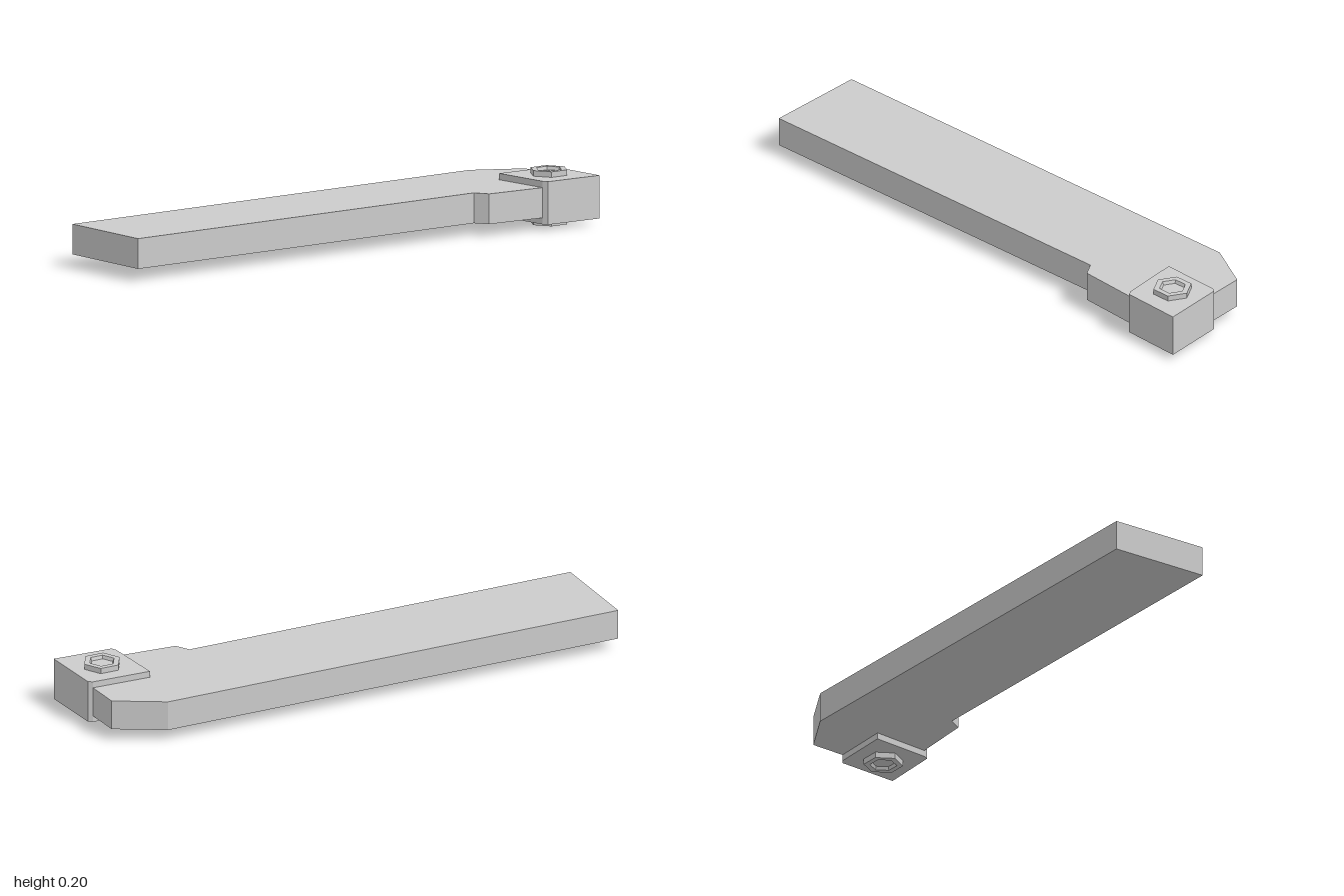
import * as THREE from 'three';

const material = new THREE.MeshStandardMaterial({ color: 0xcccccc, flatShading: true });

// Flat plate from an outline of [x, z] points, between two heights
function plate(name, outline, bottom, top) {
  const shape = new THREE.Shape(outline.map(([x, z]) => new THREE.Vector2(x, -z)));
  const geometry = new THREE.ExtrudeGeometry(shape, { depth: top - bottom, bevelEnabled: false });
  geometry.rotateX(-Math.PI / 2);
  geometry.translate(0, bottom, 0);
  const mesh = new THREE.Mesh(geometry, material);
  mesh.name = name;
  return mesh;
}

export function createModel() {
  const model = new THREE.Group();
  model.name = 'turningTool';

  // Long shank with a clipped corner, a side lug and a pocket for the insert
  model.add(plate('shank', [
    [-0.237, 1], [0.14, 1], [0.14, -0.51], [0.19, -0.54], [0.206, -0.768],
    [0.02, -0.775], [0.01, -0.968], [-0.14, -0.96], [-0.237, -0.785],
  ], 0.044, 0.153));

  // Rhombic cutting insert with two blunted corners
  model.add(plate('cuttingInsert', [
    [-0.015, -0.745], [0.207, -0.767], [0.225, -0.777], [0.236, -1],
    [0.003, -0.982], [-0.007, -0.967],
  ], 0.021, 0.176));

  // Hexagonal clamp screw, with a shallow tapered socket at each end
  const profile = [
    [0, 0.012], [0.043, 0.012], [0.048, 0], [0.07, 0],
    [0.07, 0.196], [0.048, 0.196], [0.043, 0.184], [0, 0.184],
  ].map(([r, y]) => new THREE.Vector2(r, y));
  const screw = new THREE.Mesh(new THREE.LatheGeometry(profile, 6), material);
  screw.name = 'clampScrew';
  screw.position.set(0.105, 0, -0.875);
  model.add(screw);

  return model;
}
